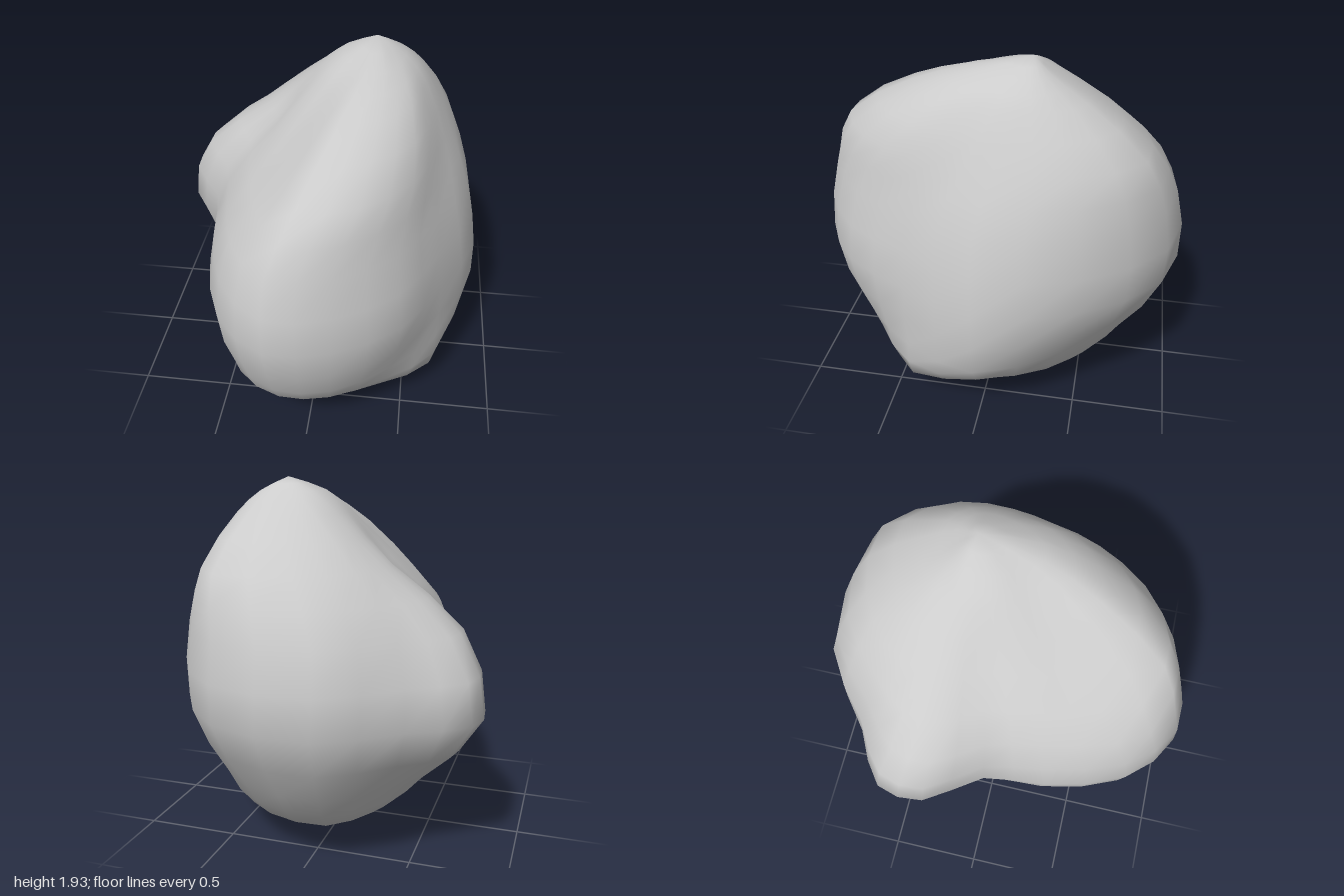
import * as THREE from 'three';
import { mergeVertices } from 'three/addons/utils/BufferGeometryUtils.js';

// Directions of the ridges and hollows in degrees, from +x towards +z
const ANGLES = [0, 30, 57, 81, 100, 120, 150, 180, 200, 215, 235, 262, 293, 325];
// Horizontal cross-sections: height, then one radius for each direction
const SECTIONS = [
  { y: 0.06, radii: [0.28, 0.32, 0.33, 0.33, 0.32, 0.28, 0.18, 0.14, 0.13, 0.14, 0.15, 0.2, 0.22, 0.25] },
  { y: 0.2, radii: [0.63, 0.75, 0.68, 0.7, 0.73, 0.7, 0.43, 0.36, 0.37, 0.41, 0.48, 0.62, 0.62, 0.6] },
  { y: 0.42, radii: [0.82, 0.77, 0.78, 0.86, 0.89, 0.8, 0.58, 0.5, 0.57, 0.64, 0.68, 0.81, 0.78, 0.73] },
  { y: 0.8, radii: [0.85, 0.775, 0.875, 0.96, 1.01, 0.89, 0.68, 0.63, 0.88, 0.98, 0.9, 1.0, 0.99, 0.88] },
  { y: 1.2, radii: [0.77, 0.71, 0.8, 0.9, 0.94, 0.76, 0.55, 0.54, 0.74, 0.81, 0.79, 0.93, 0.97, 0.86] },
  { y: 1.5, radii: [0.53, 0.54, 0.67, 0.82, 0.88, 0.55, 0.42, 0.38, 0.47, 0.53, 0.6, 0.68, 0.76, 0.63] },
  { y: 1.75, radii: [0.3, 0.32, 0.42, 0.52, 0.56, 0.35, 0.29, 0.28, 0.29, 0.3, 0.32, 0.33, 0.37, 0.33] },
  { y: 1.86, radii: [0.14, 0.15, 0.19, 0.27, 0.29, 0.22, 0.2, 0.19, 0.19, 0.18, 0.16, 0.14, 0.15, 0.15] },
];
const BOTTOM = new THREE.Vector3(0.05, 0, 0.13);
const TOP = new THREE.Vector3(0.25, 1.93, -0.2);
const SIDES = ANGLES.length * 2;
const ROWS = (SECTIONS.length + 1) * 2;

// Closed smooth outline of one cross-section; the upper part leans towards the peak
function outline({ y, radii }) {
  const lean = Math.max(0, y - 1.2);
  const points = radii.map((r, i) => {
    const a = THREE.MathUtils.degToRad(ANGLES[i]);
    return new THREE.Vector3(0.4 * lean + r * Math.cos(a), y, -0.25 * lean + r * Math.sin(a));
  });
  return new THREE.CatmullRomCurve3(points, true);
}

function rockGeometry() {
  const outlines = SECTIONS.map(outline);
  const positions = [];
  const index = [];

  // Meridians run from the foot to the peak through every cross-section
  for (let j = 0; j < SIDES; j++) {
    const knots = outlines.map((curve) => curve.getPoint(j / SIDES));
    const meridian = new THREE.CatmullRomCurve3([BOTTOM, ...knots, TOP]);
    for (let i = 0; i <= ROWS; i++) {
      const p = meridian.getPoint(i / ROWS);
      positions.push(p.x, Math.max(0, p.y), p.z);
    }
  }

  // Skin between neighbouring meridians, with single triangles at the poles
  for (let j = 0; j < SIDES; j++) {
    const a = j * (ROWS + 1);
    const b = ((j + 1) % SIDES) * (ROWS + 1);
    for (let i = 0; i < ROWS; i++) {
      if (i > 0) index.push(a + i, a + i + 1, b + i);
      if (i < ROWS - 1) index.push(a + i + 1, b + i + 1, b + i);
    }
  }

  const geometry = new THREE.BufferGeometry();
  geometry.setAttribute('position', new THREE.Float32BufferAttribute(positions, 3));
  geometry.setIndex(index);
  const welded = mergeVertices(geometry, 1e-4);
  welded.computeVertexNormals();
  return welded;
}

export function createModel() {
  const group = new THREE.Group();
  group.name = 'boulder';
  const rock = new THREE.Mesh(rockGeometry(), new THREE.MeshStandardMaterial({ color: 0xcccccc }));
  rock.name = 'rock';
  group.add(rock);
  return group;
}
